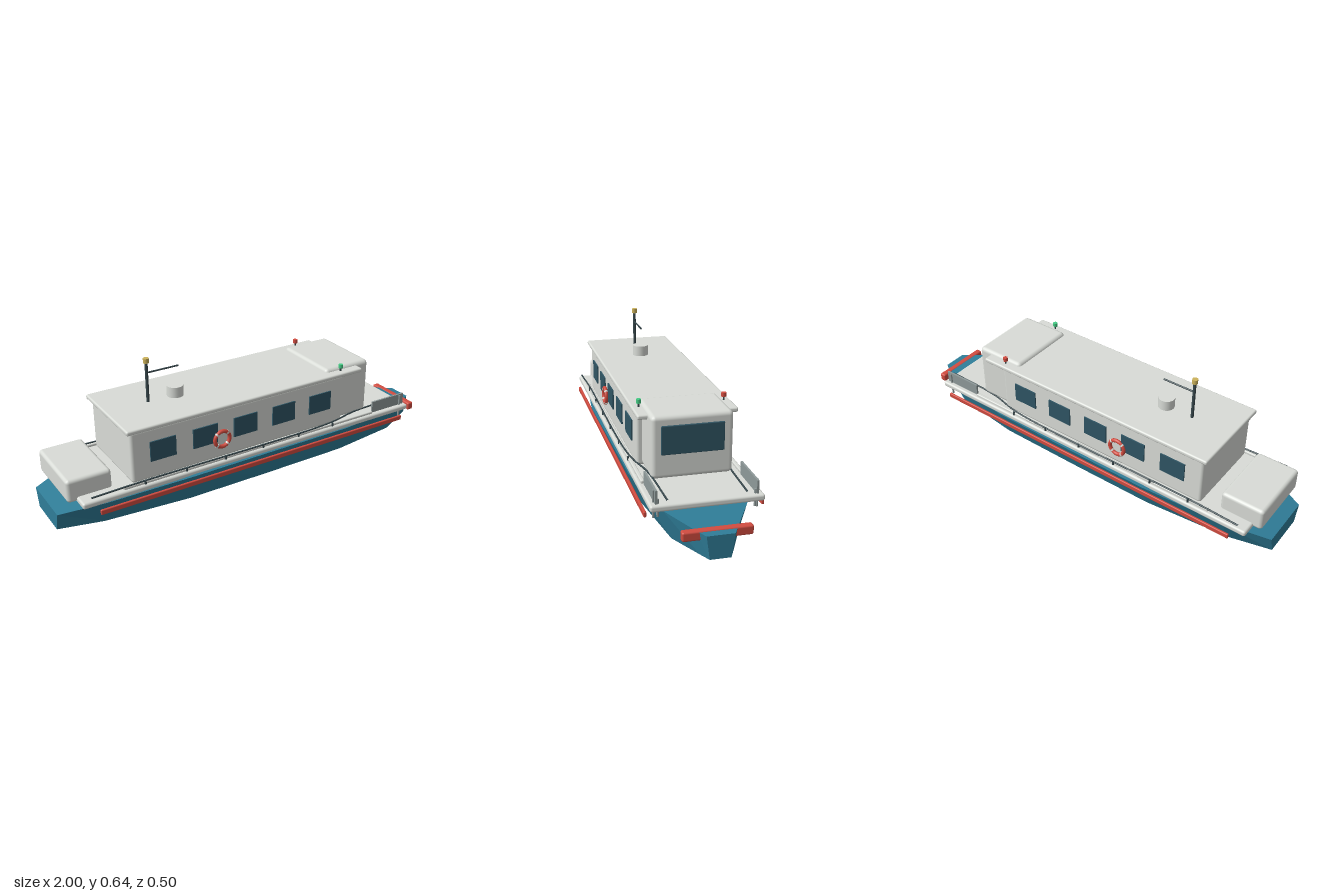
import * as THREE from 'three';
import { RoundedBoxGeometry } from 'three/addons/geometries/RoundedBoxGeometry.js';

const mat = (color, extra = {}) => new THREE.MeshStandardMaterial({ color, ...extra });
const white = mat(0xd9dcd7), glass = mat(0x2f5564), red = mat(0xd24c40), grey = mat(0x8f9a9a);
const dark = mat(0x37474c), gold = mat(0xcdb35c), green = mat(0x45cc85);
const hullBlue = mat(0x2f7d98, { flatShading: true });

// Trapezoid hull lofted through stations: x, half width at the top, half width at the bottom, height
function hullGeometry() {
  const stations = [
    [-1, 0.13, 0.105, 0.085], [-0.8, 0.205, 0.155, 0.12], [-0.4, 0.252, 0.19, 0.147],
    [0, 0.246, 0.19, 0.145], [0.45, 0.238, 0.185, 0.14], [0.8, 0.175, 0.14, 0.124],
    [0.95, 0.085, 0.068, 0.103], [1, 0.057, 0.043, 0.1],
  ];
  const loops = stations.map(([x, t, b, h]) => [[x, 0, b], [x, 0, -b], [x, h, -t], [x, h, t]]);
  const pos = [];
  const quad = (a, b, c, d) => pos.push(...a, ...b, ...c, ...a, ...c, ...d);
  for (let i = 0; i < loops.length - 1; i++) {
    const p = loops[i], q = loops[i + 1];
    for (let k = 0; k < 4; k++) {
      const n = (k + 1) % 4;
      quad(p[k], p[n], q[n], q[k]);
    }
  }
  quad(...loops[loops.length - 1]);
  quad(...[...loops[0]].reverse());
  const g = new THREE.BufferGeometry();
  g.setAttribute('position', new THREE.Float32BufferAttribute(pos, 3));
  g.computeVertexNormals();
  return g;
}

export function createModel() {
  const boat = new THREE.Group();
  boat.name = 'riverBoat';

  const add = (name, geometry, material, x = 0, y = 0, z = 0) => {
    const m = new THREE.Mesh(geometry, material);
    m.name = name;
    m.position.set(x, y, z);
    boat.add(m);
    return m;
  };
  // Rounded or plain box given by its extents along x, y and z
  const box = (name, material, [x0, x1], [y0, y1], [z0, z1], r = 0) => {
    const w = x1 - x0, h = y1 - y0, d = z1 - z0;
    const g = r ? new RoundedBoxGeometry(w, h, d, 2, r) : new THREE.BoxGeometry(w, h, d);
    return add(name, g, material, (x0 + x1) / 2, (y0 + y1) / 2, (z0 + z1) / 2);
  };
  const post = (name, material, r, x, y0, y1, z, sides = 16) =>
    add(name, new THREE.CylinderGeometry(r, r, y1 - y0, sides), material, x, (y0 + y1) / 2, z);
  const tube = (name, material, points, r) => {
    const curve = new THREE.CatmullRomCurve3(points.map((p) => new THREE.Vector3(...p)), false, 'centripetal');
    return add(name, new THREE.TubeGeometry(curve, 40, r, 8), material);
  };

  // Hull, deck and superstructure
  add('hull', hullGeometry(), hullBlue);
  box('deck', white, [-0.92, 0.84], [0.138, 0.166], [-0.235, 0.235], 0.01);
  box('cabin', white, [-0.68, 0.44], [0.168, 0.412], [-0.2, 0.2], 0.014);
  box('cabinRoof', white, [-0.7, 0.54], [0.409, 0.43], [-0.217, 0.217], 0.008);
  box('wheelhouse', white, [0.355, 0.61], [0.17, 0.444], [-0.175, 0.175], 0.02);
  box('windscreen', glass, [0.6, 0.616], [0.277, 0.403], [-0.135, 0.135], 0.004);
  box('sternLocker', white, [-0.96, -0.757], [0.143, 0.25], [-0.165, 0.165], 0.016);
  box('bowFender', red, [0.935, 0.968], [0.067, 0.107], [-0.143, 0.143], 0.008);

  // Parts mirrored on both sides
  for (const s of [1, -1]) {
    const side = s > 0 ? 'left' : 'right';
    const span = (a, b) => (s > 0 ? [a, b] : [-b, -a]);

    box(side + 'RubRail', red, [-0.85, 0.79], [0.098, 0.122], span(0.238, 0.25), 0.004);

    for (let i = 0; i < 5; i++) {
      const x = -0.53 + i * 0.208;
      box(side + 'Window', glass, [x - 0.062, x + 0.062], [0.254, 0.348], span(0.19, 0.206));
    }

    // Toe rail with small studs, and the mooring line above it
    box(side + 'ToeRail', white, [-0.73, 0.62], [0.163, 0.178], span(0.205, 0.222), 0.005);
    for (let i = 0; i < 6; i++) {
      post(side + 'Stud', dark, 0.005, -0.63 + i * 0.2, 0.163, 0.184, s * 0.222, 8);
    }
    tube(side + 'MooringLine', dark,
      [[-0.88, 0.18, s * 0.226], [-0.65, 0.18, s * 0.218], [0.35, 0.18, s * 0.212],
        [0.54, 0.18, s * 0.175], [0.83, 0.18, s * 0.163]], 0.004);

    // Bow bulwark and its posts
    box(side + 'Bulwark', grey, [0.625, 0.825], [0.164, 0.223], span(0.203, 0.212));
    post(side + 'BulwarkPost', grey, 0.005, 0.8, 0.1, 0.218, s * 0.214, 10);
    post(side + 'BulwarkPost', grey, 0.005, 0.815, 0.11, 0.185, s * 0.2, 10);

    // Life ring with four bands
    add(side + 'LifeRing', new THREE.TorusGeometry(0.038, 0.009, 10, 32), red, -0.24, 0.265, s * 0.208);
    for (let i = 0; i < 4; i++) {
      const a = Math.PI / 4 + (i * Math.PI) / 2;
      const band = add(side + 'LifeRingBand', new THREE.CylinderGeometry(0.0098, 0.0098, 0.008, 10), white,
        -0.24 + 0.038 * Math.cos(a), 0.265 + 0.038 * Math.sin(a), s * 0.208);
      band.rotation.z = a;
    }

    // Navigation light on a short stem
    post(side + 'LightStem', dark, 0.004, 0.43, 0.425, 0.447, s * 0.187, 8);
    post(side + 'NavigationLight', s > 0 ? green : red, 0.011, 0.43, 0.446, 0.464, s * 0.187);
  }

  // Roof fittings
  post('funnel', white, 0.038, -0.36, 0.425, 0.48, 0, 24);
  post('mast', dark, 0.007, -0.495, 0.425, 0.618, 0, 12);
  post('mastLamp', gold, 0.013, -0.495, 0.616, 0.638, 0);
  const boom = add('boom', new THREE.CylinderGeometry(0.004, 0.004, 0.155, 8), dark, -0.4175, 0.569, 0);
  boom.rotation.z = Math.PI / 2;

  return boat;
}
